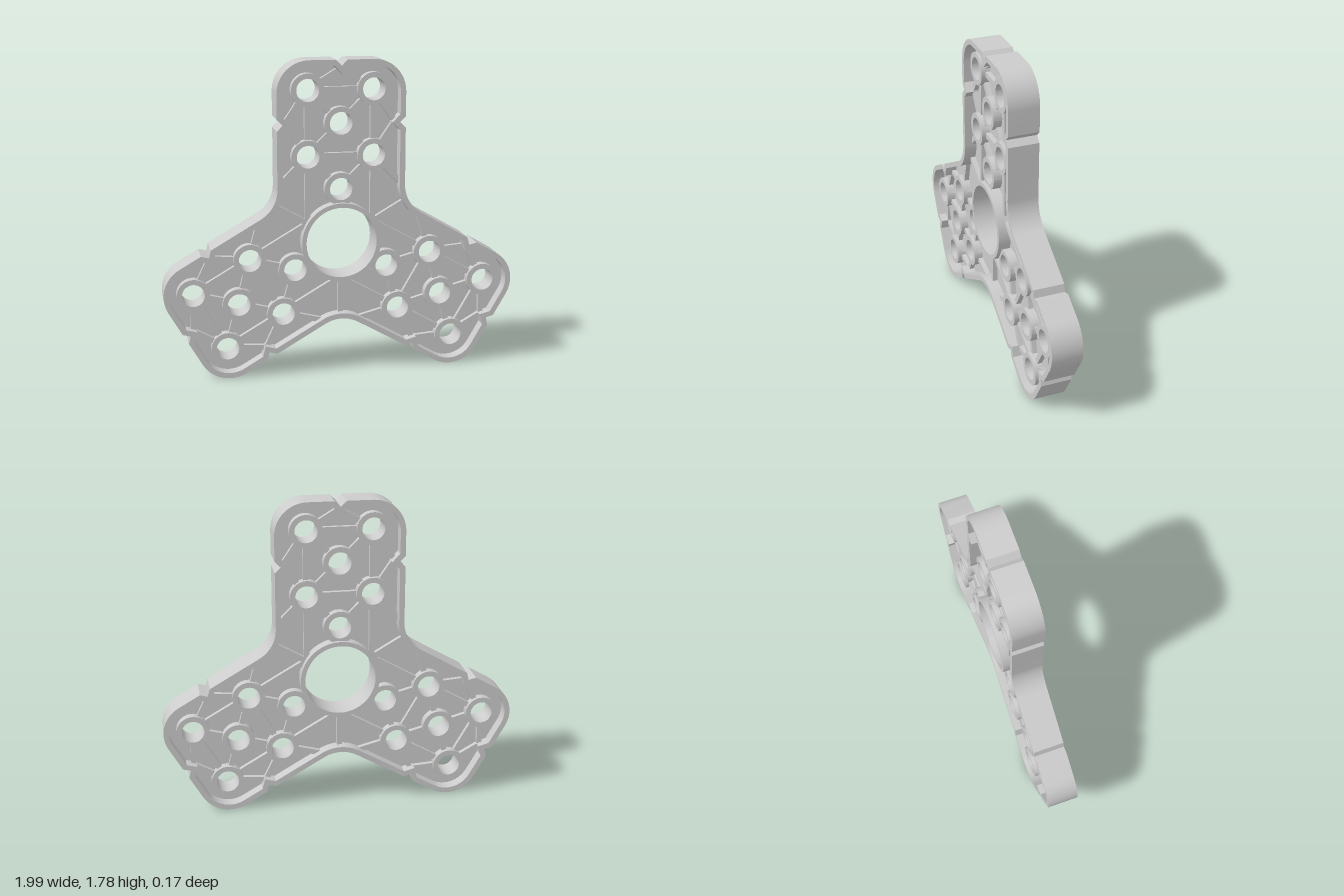
import * as THREE from 'three';
import { toCreasedNormals } from 'three/addons/utils/BufferGeometryUtils.js';

const material = new THREE.MeshStandardMaterial({ color: 0xcccccc });
const CENTRE_Y = 0.765, HALF_DEPTH = 0.0875;
const ARM_HALF = 0.36, ARM_END = 1.02, CORNER_R = 0.18, FILLET_R = 0.19, NOTCH = 0.032, NOTCH_Y = 0.67;
const HUB_R = 0.2, HOLE_R = 0.063, BOSS_R = 0.092, WALL = 0.03;
const BOSS_HALF = 0.067, RIB_HALF = 0.045, FLOOR_HALF = 0.018, RIB_W = 0.03;
const THIRD = Math.PI * 2 / 3;
const v = (x, y) => new THREE.Vector2(x, y);
const origin = v(0, 0);

// Hole centres on the upright arm
const holes = [[-0.185, 0.855], [0.185, 0.855], [0, 0.67], [-0.185, 0.488], [0.185, 0.488], [0, 0.302]]
  .map(([x, y]) => v(x, y));

function arc(cx, cy, r, from, to, n) {
  return Array.from({ length: n + 1 }, (_, i) => {
    const a = THREE.MathUtils.degToRad(from + (to - from) * i / n);
    return v(cx + r * Math.cos(a), cy + r * Math.sin(a));
  });
}

// Three-armed outline with notches, moved inwards by d
function outline(d) {
  const w = ARM_HALF - d, top = ARM_END - d;
  const half = NOTCH + 0.414 * d, tip = NOTCH + 0.414 * d;
  const side = [
    ...arc(ARM_HALF + FILLET_R, (ARM_HALF + FILLET_R) / Math.sqrt(3), FILLET_R + d, 210, 180, 8),
    v(w, NOTCH_Y - half), v(w - tip, NOTCH_Y), v(w, NOTCH_Y + half),
    ...arc(ARM_HALF - CORNER_R, ARM_END - CORNER_R, CORNER_R - d, 0, 90, 14),
    v(half, top),
  ];
  const mirrored = side.slice(1).reverse().map(p => v(-p.x, p.y));
  const arm = [...side, v(0, top - tip), ...mirrored];
  return [0, 1, 2].flatMap(i => arm.map(p => p.clone().rotateAround(origin, i * THIRD)));
}

function circle(x, y, r) {
  return new THREE.Path().absarc(x, y, r, 0, Math.PI * 2, true);
}

function plate(name, shape, half) {
  const geometry = new THREE.ExtrudeGeometry(shape, { depth: half * 2, bevelEnabled: false, curveSegments: 32 });
  geometry.translate(0, 0, -half);
  const mesh = new THREE.Mesh(toCreasedNormals(geometry, 0.5), material);
  mesh.name = name;
  return mesh;
}

function ring(name, x, y, outer, inner, half) {
  const shape = new THREE.Shape().absarc(x, y, outer, 0, Math.PI * 2, false);
  shape.holes.push(circle(x, y, inner));
  return plate(name, shape, half);
}

// Straight rib from a to b, trimmed at each end
function rib(a, b, trimA = 0.08, trimB = 0.08) {
  const dir = b.clone().sub(a).normalize();
  const p = a.clone().addScaledVector(dir, trimA), q = b.clone().addScaledVector(dir, -trimB);
  const mesh = new THREE.Mesh(new THREE.BoxGeometry(p.distanceTo(q), RIB_W, RIB_HALF * 2), material);
  mesh.position.set((p.x + q.x) / 2, (p.y + q.y) / 2, 0);
  mesh.rotation.z = Math.atan2(dir.y, dir.x);
  mesh.name = 'rib';
  return mesh;
}

function createArm() {
  const arm = new THREE.Group();
  arm.name = 'arm';
  for (const h of holes) arm.add(ring('holeBoss', h.x, h.y, BOSS_R, HOLE_R, BOSS_HALF));

  // Cross ribs between paired bosses
  arm.add(rib(holes[0], holes[1]), rib(holes[3], holes[4]));
  for (const s of [-1, 1]) {
    const outer = v(0.185 * s, 0.855), inner = v(0.185 * s, 0.488);
    // Long rails and lattice diagonals
    arm.add(rib(outer, inner), rib(inner, v(0.185 * s, 0.11), 0.08, 0));
    arm.add(rib(holes[2], outer), rib(holes[2], inner), rib(holes[5], inner));
    // Braces to the notches and the side wall
    const notch = v(0.31 * s, NOTCH_Y);
    arm.add(rib(outer, notch, 0.08, 0), rib(inner, notch, 0.08, 0));
    arm.add(rib(outer, v(0, 0.965), 0.08, 0), rib(inner, v(0.345 * s, 0.325), 0.08, 0));
  }
  // Hub spoke opposite the arm
  arm.add(rib(v(0, -0.21), v(0, -0.425), 0, 0));
  return arm;
}

export function createModel() {
  const model = new THREE.Group();
  model.name = 'threeArmPlate';
  const body = new THREE.Group();
  body.name = 'body';
  body.position.y = CENTRE_Y;
  model.add(body);

  // Outer wall
  const wall = new THREE.Shape(outline(0));
  wall.holes.push(new THREE.Path(outline(WALL).reverse()));
  body.add(plate('outerWall', wall, HALF_DEPTH));

  // Thin middle floor with all openings
  const floor = new THREE.Shape(outline(WALL / 2));
  floor.holes.push(circle(0, 0, HUB_R + 0.01));
  for (let i = 0; i < 3; i++) {
    for (const h of holes) {
      const p = h.clone().rotateAround(origin, i * THIRD);
      floor.holes.push(circle(p.x, p.y, HOLE_R + 0.01));
    }
  }
  body.add(plate('floor', floor, FLOOR_HALF));

  // Central ring
  body.add(ring('hubRing', 0, 0, HUB_R + 0.025, HUB_R, HALF_DEPTH));

  // Arms
  for (let i = 0; i < 3; i++) {
    const arm = createArm();
    arm.rotation.z = i * THIRD;
    body.add(arm);
  }
  return model;
}
